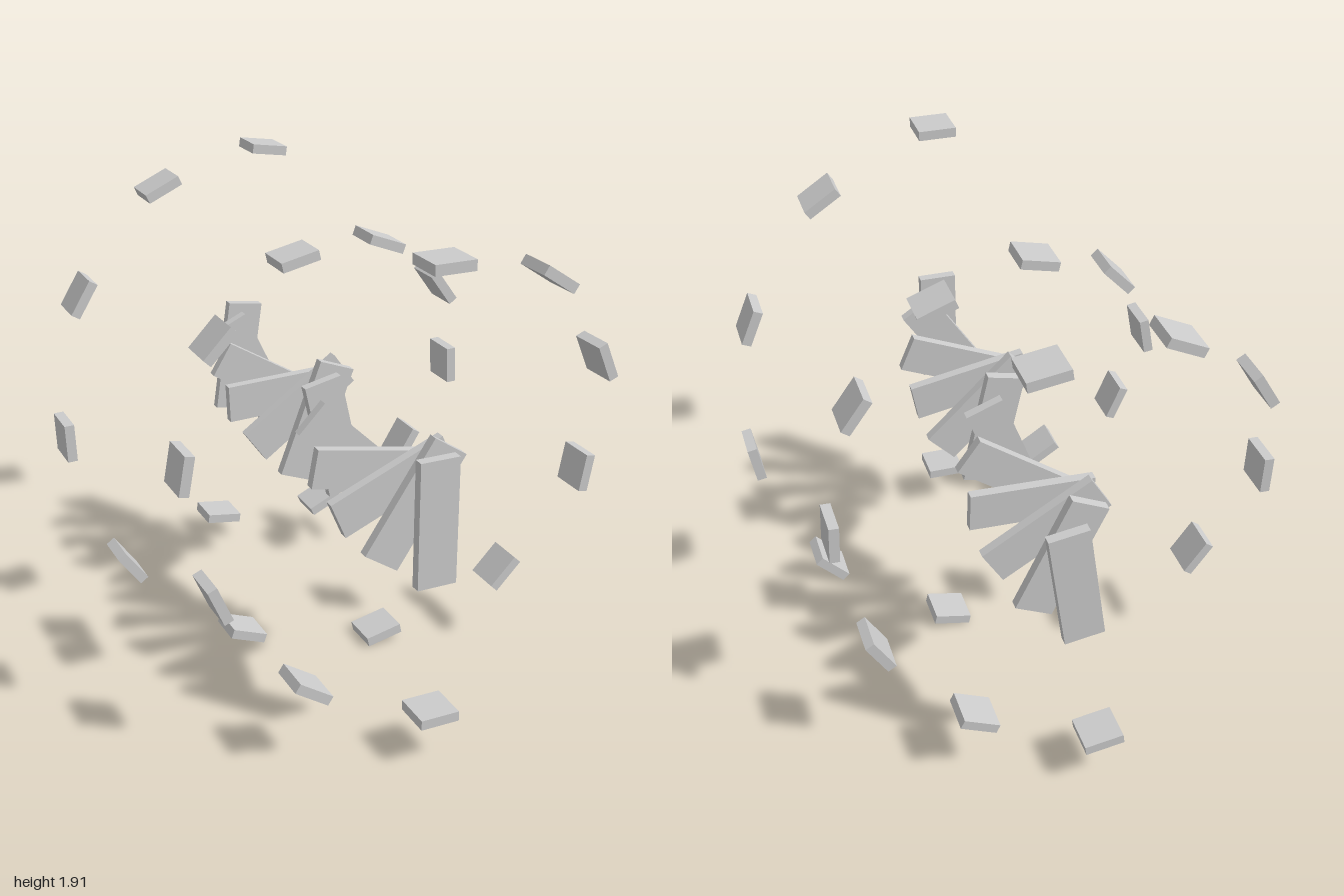
import * as THREE from 'three';

const LAYERS = 12;
const STEP = THREE.MathUtils.degToRad(33.5); // clockwise twist per layer
const WIDTH = 0.154;
const THICK = 0.039;
const CENTER_Y = 0.954;

export function createModel() {
  const model = new THREE.Group();
  model.name = 'twistedHelix';
  const material = new THREE.MeshStandardMaterial({ color: 0xcccccc, flatShading: true });
  const plankGeometry = new THREE.BoxGeometry(WIDTH, 0.49, THICK);
  const plateGeometry = new THREE.BoxGeometry(WIDTH, THICK, WIDTH);

  const add = (parent, geometry, name, y) => {
    const mesh = new THREE.Mesh(geometry, material);
    mesh.name = name;
    mesh.position.y = y;
    parent.add(mesh);
  };

  // Each layer: a central plank with one far and one near floating plate
  const front = 1 - WIDTH / 2;
  for (let i = 0; i < LAYERS; i++) {
    const layer = new THREE.Group();
    layer.name = `layer${i + 1}`;
    layer.position.set(0, CENTER_Y, front - (2 * front * i) / (LAYERS - 1));
    layer.rotation.z = -STEP * i;
    add(layer, plankGeometry, 'corePlank', 0);
    add(layer, plateGeometry, 'outerPlate', 0.94);
    add(layer, plateGeometry, 'innerPlate', -0.77);
    model.add(layer);
  }
  return model;
}
